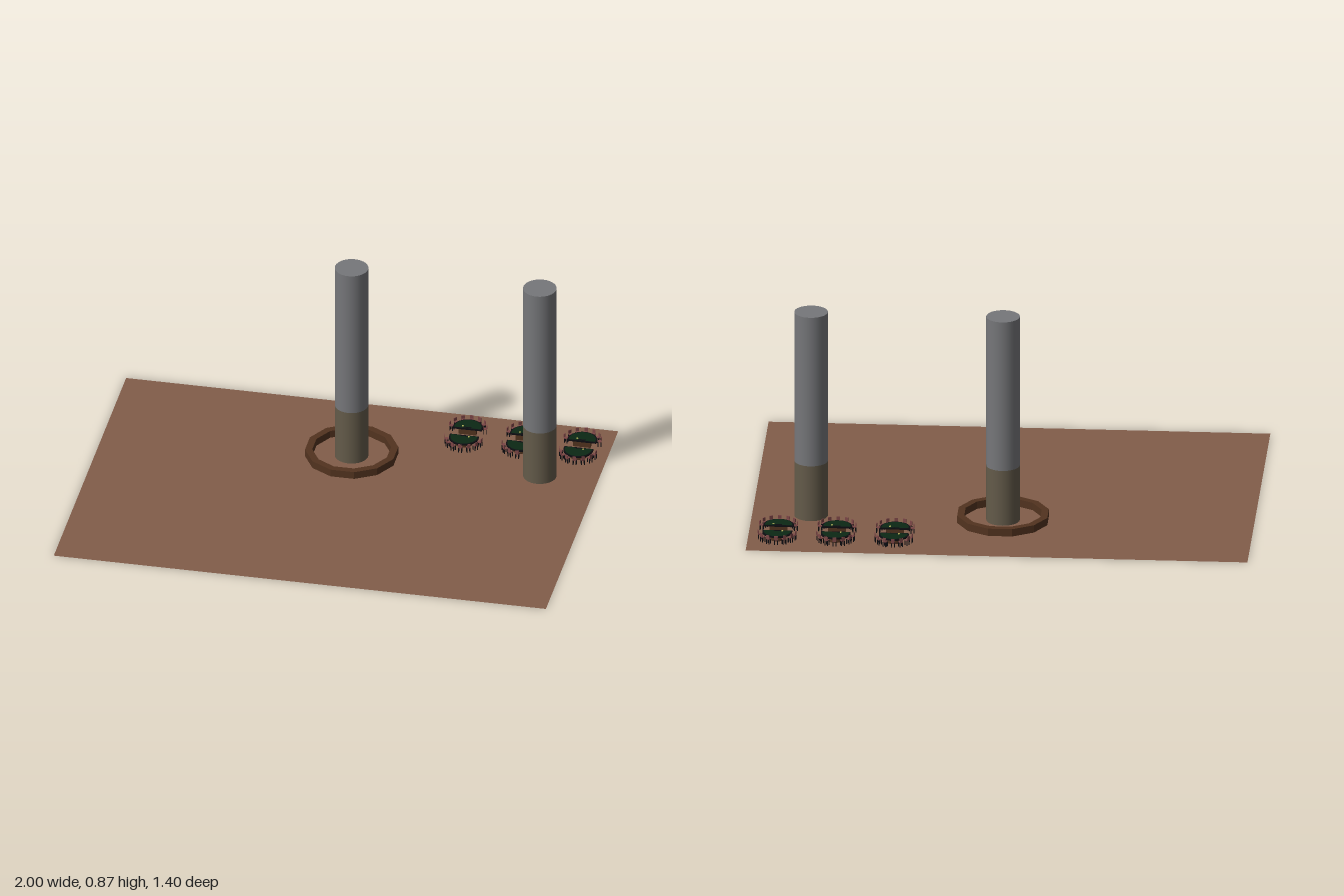
import * as THREE from 'three';

const mat = (name, color, extra = {}) => {
  const m = new THREE.MeshStandardMaterial({ color, ...extra });
  m.name = name;
  return m;
};

export function createModel() {
  const floorBrown = mat('floor brown', 0x825d4a, { side: THREE.DoubleSide });
  const wood = mat('dark wood', 0x52331f);
  const grey = mat('column grey', 0x76777a);
  const olive = mat('column base olive', 0x645b4a);
  const felt = mat('green felt', 0x0c2815);
  const black = mat('black trim', 0x0d0d12);
  const red = mat('chair red', 0x7c4646);
  const chip = mat('chip yellow', 0xb8b45a);

  const model = new THREE.Group();
  model.name = 'gamingHall';
  const add = (parent, name, geo, material, x = 0, y = 0, z = 0) => {
    const mesh = new THREE.Mesh(geo, material);
    mesh.name = name;
    mesh.position.set(x, y, z);
    parent.add(mesh);
    return mesh;
  };
  // Extrude a plan outline upwards
  const slab = (shape, depth) =>
    new THREE.ExtrudeGeometry(shape, { depth, bevelEnabled: false, curveSegments: 16 }).rotateX(-Math.PI / 2);

  add(model, 'floor', new THREE.PlaneGeometry(2, 1.4).rotateX(-Math.PI / 2), floorBrown);

  // Columns with a darker lower band
  for (const x of [0, 0.765]) {
    add(model, 'columnBase', new THREE.CylinderGeometry(0.067, 0.067, 0.234, 32), olive, x, 0.118, -0.302);
    add(model, 'columnShaft', new THREE.CylinderGeometry(0.067, 0.067, 0.635, 32), grey, x, 0.5525, -0.302);
  }

  // Twelve-sided ring counter
  const polygon = (r) => Array.from({ length: 12 }, (_, i) => {
    const a = ((i + 0.5) * Math.PI) / 6;
    return new THREE.Vector2(r * Math.cos(a), r * Math.sin(a));
  });
  const ring = new THREE.Shape(polygon(0.186));
  ring.holes.push(new THREE.Path(polygon(0.157)));
  add(model, 'ringCounter', slab(ring, 0.031), wood, 0, 0.001, -0.303);

  // Half-round outline: arc to the back, straight dealer side to the front
  const halfRound = (r, front) => {
    const s = new THREE.Shape();
    s.moveTo(-r, -front);
    s.lineTo(r, -front);
    s.lineTo(r, 0);
    s.absarc(0, 0, r, 0, Math.PI, false);
    s.closePath();
    return s;
  };
  const rimGeo = slab(halfRound(0.059, 0.013), 0.006);
  const feltGeo = slab(halfRound(0.054, 0.009), 0.001);
  const bodyGeo = slab(halfRound(0.036, 0.011), 0.023);
  const seatGeo = new THREE.BoxGeometry(0.014, 0.004, 0.014);
  const backGeo = new THREE.BoxGeometry(0.014, 0.014, 0.003);
  const legGeo = new THREE.BoxGeometry(0.003, 0.02, 0.003);

  const makeChair = () => {
    const chair = new THREE.Group();
    chair.name = 'chair';
    add(chair, 'seat', seatGeo, red, 0, 0.022, 0);
    add(chair, 'backrest', backGeo, red, 0, 0.032, -0.007);
    for (const x of [-0.006, 0.006])
      for (const z of [-0.006, 0.006]) add(chair, 'chairLeg', legGeo, black, x, 0.011, z);
    return chair;
  };

  const makeTable = () => {
    const table = new THREE.Group();
    table.name = 'gamingTable';
    add(table, 'tableBody', bodyGeo, wood, 0, 0.001, 0);
    add(table, 'tableRim', rimGeo, black, 0, 0.024, 0);
    add(table, 'feltTop', feltGeo, felt, 0, 0.03, 0);
    add(table, 'chipTray', new THREE.BoxGeometry(0.03, 0.002, 0.006), black, 0, 0.031, 0.006);
    add(table, 'chipStack', new THREE.CylinderGeometry(0.004, 0.004, 0.003, 10), chip, -0.02, 0.0325, 0);
    // Seven chairs fanned around the curved side
    for (let i = 0; i < 7; i++) {
      const a = ((i - 3) * Math.PI) / 6.8;
      const chair = makeChair();
      chair.position.set(Math.sin(a) * 0.069, 0, -Math.cos(a) * 0.069);
      chair.rotation.y = -a;
      table.add(chair);
    }
    return table;
  };

  // Two rows of tables, dealer sides facing each other
  for (const x of [0.418, 0.65, 0.883]) {
    const back = makeTable();
    back.position.set(x, 0, -0.561);
    const front = makeTable();
    front.position.set(x, 0, -0.484);
    front.rotation.y = Math.PI;
    model.add(back, front);
  }
  return model;
}
